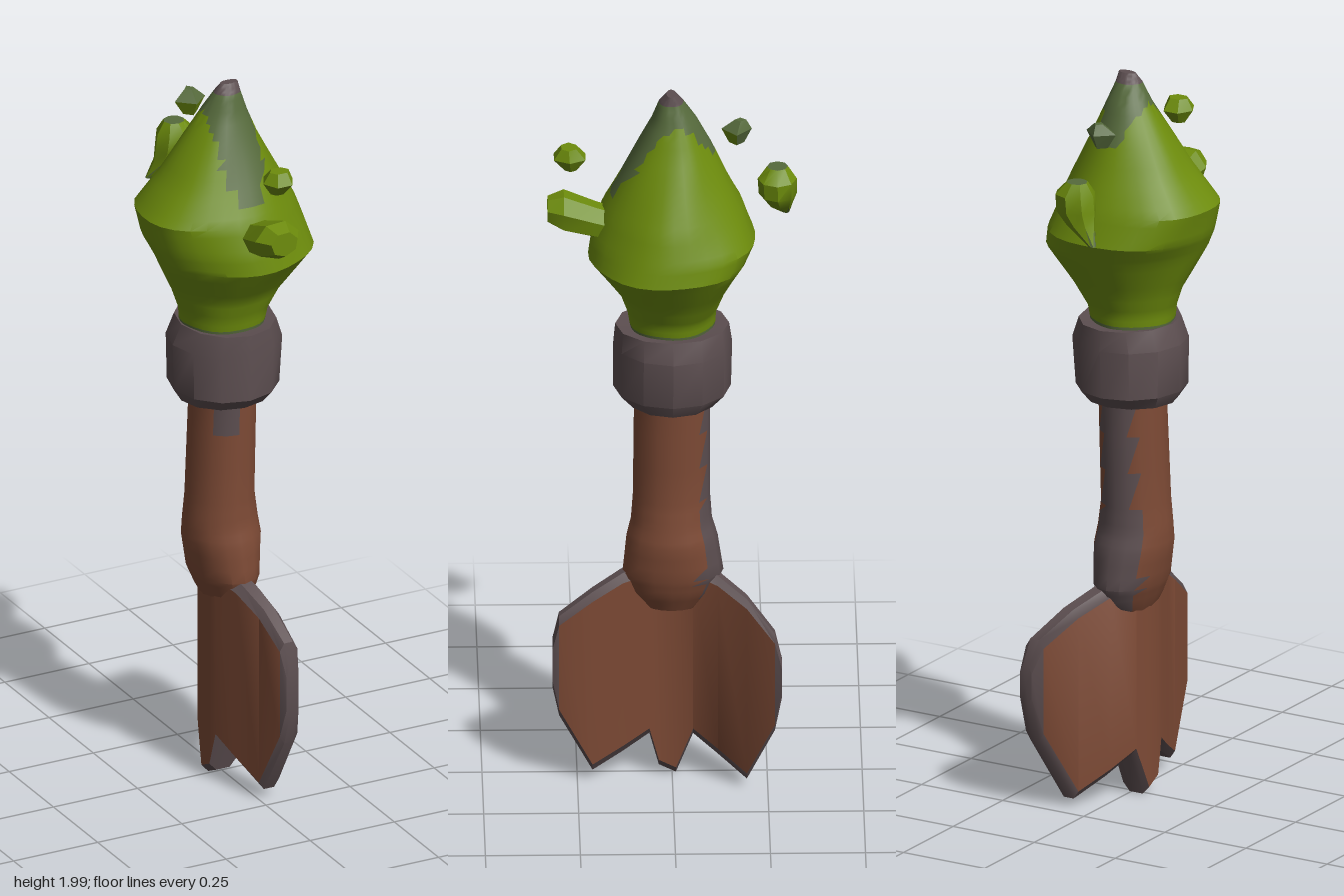
import * as THREE from 'three';
import { toCreasedNormals } from 'three/addons/utils/BufferGeometryUtils.js';

const mat = (name, hex) => {
  const m = new THREE.MeshStandardMaterial({ color: hex });
  m.name = name;
  return m;
};

// Material slots used by the paint rules
const GREEN = 0, DARK = 1, GREY = 2, BROWN = 3;

// Closed skin over a list of rings; paint(centre, ring, side) picks the material slot.
function skin(name, rings, materials, paint, crease = 0.6) {
  const n = rings[0].length, pts = rings.flat(), tris = [];
  for (let r = 0; r < rings.length - 1; r++) {
    for (let s = 0; s < n; s++) {
      const a = r * n + s, b = r * n + (s + 1) % n;
      tris.push([a, b, a + n, r, s], [b, b + n, a + n, r, s]);
    }
  }
  // End caps
  [0, rings.length - 1].forEach((r) => {
    const mid = new THREE.Vector3();
    rings[r].forEach((p) => mid.addScaledVector(p, 1 / n));
    const c = pts.push(mid) - 1;
    for (let s = 0; s < n; s++) {
      const a = r * n + s, b = r * n + (s + 1) % n;
      tris.push(r === 0 ? [b, a, c, -1, s] : [a, b, c, r, s]);
    }
  });
  // Signed volume tells whether the faces point outwards
  let volume = 0;
  const cross = new THREE.Vector3();
  tris.forEach(([a, b, c]) => { volume += pts[a].dot(cross.crossVectors(pts[b], pts[c])); });

  const lists = materials.map(() => []);
  tris.forEach(([a, b, c, r, s]) => {
    const mid = pts[a].clone().add(pts[b]).add(pts[c]).divideScalar(3);
    lists[paint(mid, r, s)].push(...(volume > 0 ? [a, b, c] : [a, c, b]));
  });
  const geo = new THREE.BufferGeometry().setFromPoints(pts);
  geo.setIndex(lists.flat());
  let start = 0;
  lists.forEach((list, i) => {
    if (list.length) geo.addGroup(start, list.length, i);
    start += list.length;
  });
  const mesh = new THREE.Mesh(toCreasedNormals(geo, crease), materials);
  mesh.name = name;
  return mesh;
}

// Horizontal oval rings from rows of [y, xMin, xMax, zMin, zMax], subdivided between rows.
function ovals(rows, n, sub = 1, wobble = 0) {
  const rings = [];
  const ring = ([y, x0, x1, z0, z1]) => Array.from({ length: n }, (_, i) => {
    const a = (i / n) * Math.PI * 2;
    const k = 1 + wobble * Math.sin(5 * a + y * 12);
    return new THREE.Vector3(
      (x0 + x1) / 2 + Math.cos(a) * k * (x1 - x0) / 2, y,
      (z0 + z1) / 2 + Math.sin(a) * k * (z1 - z0) / 2);
  });
  for (let r = 0; r < rows.length - 1; r++) {
    for (let j = 0; j < sub; j++) {
      rings.push(ring(rows[r].map((v, k) => THREE.MathUtils.lerp(v, rows[r + 1][k], j / sub))));
    }
  }
  rings.push(ring(rows[rows.length - 1]));
  return rings;
}

export function createModel() {
  const model = new THREE.Group();
  model.name = 'arrow';
  const materials = [
    mat('leafGreen', 0x6d8c0c), mat('mossGreen', 0x566a3c),
    mat('stoneGrey', 0x5c4e50), mat('woodBrown', 0x7d4a35),
  ];
  const add = (name, rings, paint, crease) => model.add(skin(name, rings, materials, paint, crease));

  // Pointed head with a mossy streak and grey tip
  add('head', ovals([
    [1.30, -0.11, 0.11, -0.11, 0.11],
    [1.36, -0.115, 0.12, -0.115, 0.12],
    [1.42, -0.135, 0.155, -0.14, 0.14],
    [1.53, -0.19, 0.238, -0.20, 0.218],
    [1.58, -0.215, 0.225, -0.223, 0.21],
    [1.66, -0.237, 0.195, -0.19, 0.185],
    [1.75, -0.165, 0.15, -0.145, 0.14],
    [1.85, -0.10, 0.10, -0.10, 0.09],
    [1.92, -0.055, 0.07, -0.065, 0.055],
    [1.975, -0.022, 0.05, -0.03, 0.035],
    [2.00, -0.005, 0.045, -0.01, 0.015],
  ], 30, 4, 0.02), (p) => {
    if (p.y > 1.972) return GREY;
    if (p.y < 1.335) return DARK;
    const low = p.z > 0 ? 1.70 : 1.83;
    const width = Math.min(0.062, 0.025 + (p.y - low) * 0.4);
    return p.y > low && Math.abs(p.x - 0.01) < width ? DARK : GREEN;
  }, 0.5);

  // Thick collar under the head
  add('collar', ovals([
    [1.11, -0.08, 0.08, -0.08, 0.08],
    [1.105, -0.12, 0.13, -0.12, 0.12],
    [1.14, -0.142, 0.15, -0.155, 0.155],
    [1.27, -0.145, 0.16, -0.158, 0.155],
    [1.325, -0.12, 0.14, -0.15, 0.15],
    [1.32, -0.09, 0.09, -0.09, 0.09],
  ], 12), () => GREY);

  // Shaft, grey along its back with a grey patch in front
  add('shaft', ovals([
    [0.50, -0.04, 0.05, -0.07, 0.07],
    [0.55, -0.065, 0.075, -0.11, 0.11],
    [0.60, -0.085, 0.09, -0.135, 0.13],
    [0.70, -0.105, 0.10, -0.12, 0.12],
    [0.75, -0.105, 0.092, -0.105, 0.108],
    [0.82, -0.098, 0.083, -0.10, 0.103],
    [1.12, -0.085, 0.09, -0.10, 0.10],
  ], 16, 3), (p) => {
    if (p.z < -0.078) return GREY;
    return p.z > 0.05 && p.y > 0.99 && p.x > -0.055 && p.x < 0 ? GREY : BROWN;
  });

  // Bent tail fin: [z, bottom, top, x, half thickness]
  const fin = [
    [0.315, 0.28, 0.42, 0.045, 0.018],
    [0.298, 0.20, 0.49, 0.042, 0.026],
    [0.21, 0.035, 0.555, 0.03, 0.03],
    [0.13, 0.08, 0.60, 0.008, 0.034],
    [0.06, 0.125, 0.62, -0.01, 0.04],
    [0.035, 0.03, 0.63, -0.015, 0.04],
    [-0.01, 0.008, 0.64, -0.015, 0.04],
    [-0.055, 0.125, 0.62, -0.005, 0.038],
    [-0.12, 0.08, 0.60, 0.03, 0.034],
    [-0.195, 0.03, 0.555, 0.08, 0.03],
    [-0.268, 0.20, 0.48, 0.14, 0.027],
    [-0.286, 0.30, 0.41, 0.157, 0.018],
  ].map(([z, y0, y1, x, t]) => [
    [-t / 2, y0], [t / 2, y0], [t, y0 + 0.022], [t, y1 - 0.022],
    [t / 2, y1], [-t / 2, y1], [-t, y1 - 0.022], [-t, y0 + 0.022],
  ].map(([dx, y]) => new THREE.Vector3(x + dx, y, z)));
  const last = fin.length - 2;
  add('tailFin', fin, (p, r, s) =>
    (r > 0 && r < last && (s === 2 || s === 6) ? BROWN : GREY));

  // Stub growing out of the front of the head: [z, y, rx, ry]
  const stub = [
    [0.13, 1.61, 0.05, 0.045], [0.20, 1.63, 0.055, 0.048],
    [0.285, 1.657, 0.066, 0.055], [0.328, 1.662, 0.04, 0.035],
  ].map(([z, y, rx, ry]) => Array.from({ length: 7 }, (_, i) => {
    const a = (i / 7) * Math.PI * 2 + 0.3;
    return new THREE.Vector3(0.015 + Math.cos(a) * rx, y + Math.sin(a) * ry, z);
  }));
  add('frontStub', stub, () => GREEN);

  // Loose chips floating around the head
  add('frontChip', ovals([
    [1.785, 0.005, 0.045, 0.25, 0.285],
    [1.82, -0.018, 0.068, 0.222, 0.318],
    [1.85, 0.00, 0.055, 0.25, 0.295],
  ], 6), () => GREEN);

  add('upperBackChip', ovals([
    [1.845, -0.025, 0.015, -0.19, -0.15],
    [1.885, -0.05, 0.04, -0.21, -0.13],
    [1.912, -0.015, 0.01, -0.195, -0.165],
  ], 4), (p) => (p.y < 1.885 && p.z > -0.17 ? GREEN : DARK));

  add('backChip', ovals([
    [1.615, -0.068, -0.048, -0.31, -0.292],
    [1.665, -0.052, 0.03, -0.318, -0.25],
    [1.70, -0.05, 0.062, -0.328, -0.228],
    [1.745, -0.045, 0.065, -0.328, -0.225],
    [1.778, -0.025, 0.032, -0.305, -0.25],
  ], 8), (p, r) => (r === 4 || r < 0 || p.y < 1.645 ? DARK : GREEN));

  return model;
}
